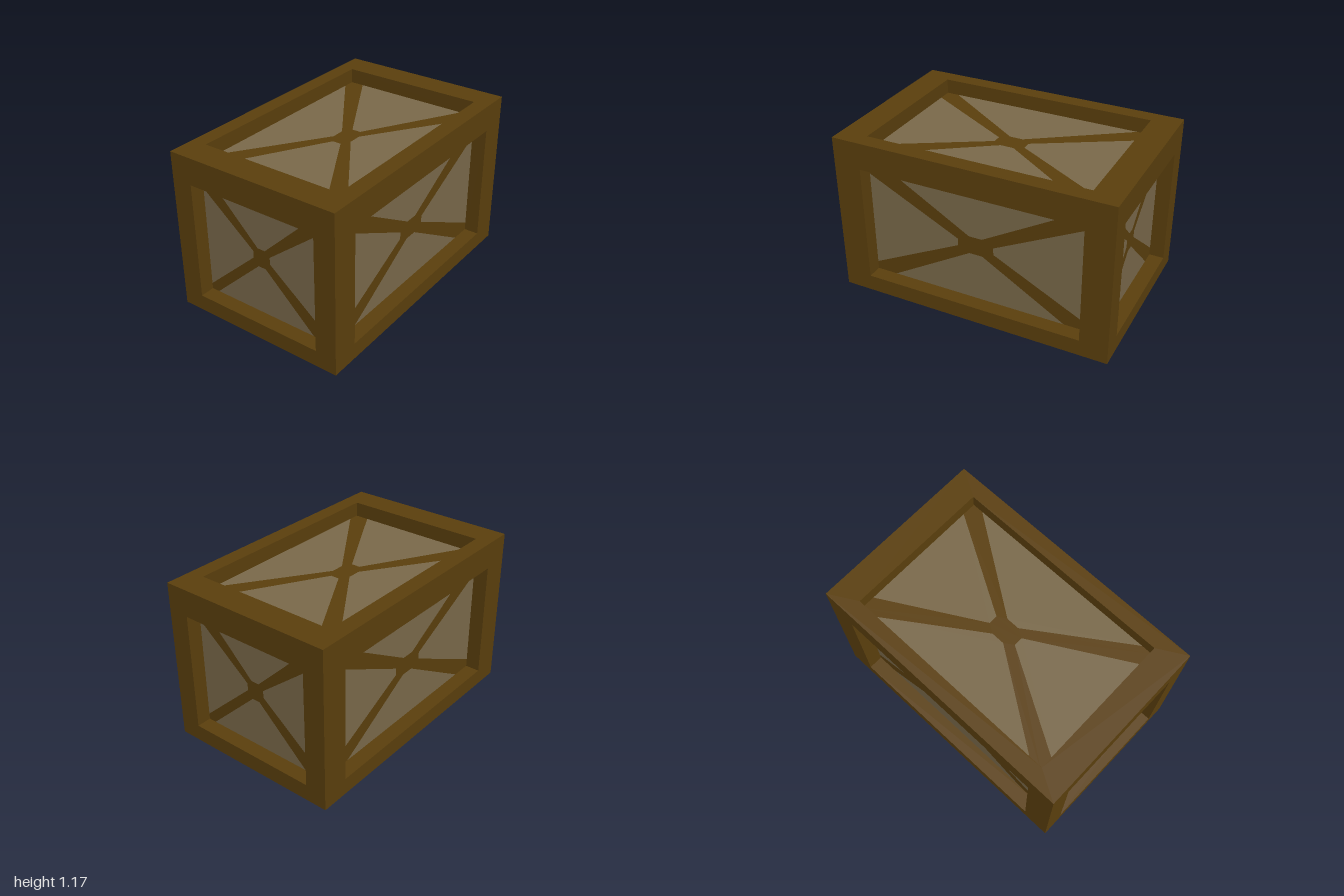
import * as THREE from 'three';

const W = 2, H = 1.175, D = 1.29, DEPTH = 0.107;

const darkWood = new THREE.MeshStandardMaterial({ color: 0x5c400d, side: THREE.DoubleSide });
darkWood.name = 'dark wood';
const paleWood = new THREE.MeshStandardMaterial({ color: 0x7b6a4b, side: THREE.DoubleSide });
paleWood.name = 'pale wood';

const polygon = (pts, Type = THREE.Shape) => new Type(pts.map(([x, y]) => new THREE.Vector2(x, y)));
const rect = (x0, y0, x1, y1) => [[x0, y0], [x1, y0], [x1, y1], [x0, y1]];

function mesh(name, geometry, material) {
  const m = new THREE.Mesh(geometry, material);
  m.name = name;
  return m;
}

// One wall lying in its local xy plane and facing +z: flat frame, recess sides and braced panel.
// outer and open are [x0, y0, x1, y1]; each tri is [edge start, edge end, apex across, apex out], from -1 to 1.
function wall(name, outer, open, tris) {
  const g = new THREE.Group();
  g.name = name;
  const [x0, y0, x1, y1] = open;
  const cx = (x0 + x1) / 2, cy = (y0 + y1) / 2, hw = (x1 - x0) / 2, hh = (y1 - y0) / 2;

  const frame = polygon(rect(...outer));
  frame.holes.push(polygon(rect(...open), THREE.Path));
  g.add(mesh('frame', new THREE.ShapeGeometry(frame), darkWood));

  // Recess sides
  for (const s of [-1, 1]) {
    const across = new THREE.PlaneGeometry(2 * hw, DEPTH).rotateX(s * Math.PI / 2);
    g.add(mesh('recessSide', across.translate(cx, cy + s * hh, -DEPTH / 2), darkWood));
    const upright = new THREE.PlaneGeometry(DEPTH, 2 * hh).rotateY(-s * Math.PI / 2);
    g.add(mesh('recessSide', upright.translate(cx + s * hw, cy, -DEPTH / 2), darkWood));
  }

  // Crossed brace around four blunt-tipped triangles: top, bottom, left, right
  const brace = polygon(rect(...open));
  tris.forEach(([a, b, mid, tip], i) => {
    const edge = i % 2 ? -1 : 1, vertical = i >= 2;
    const side = vertical ? -edge : edge;
    const local = [[a, side], [b, side], [mid + 0.06, tip], [mid - 0.06, tip]];
    const pts = local.map(([p, q]) => (vertical ? [cx + q * hw, cy + p * hh] : [cx + p * hw, cy + q * hh]));
    brace.holes.push(polygon(pts, THREE.Path));
    const panel = mesh('panel', new THREE.ShapeGeometry(polygon(pts)), paleWood);
    panel.position.z = -DEPTH;
    g.add(panel);
  });
  const cross = mesh('crossBrace', new THREE.ShapeGeometry(brace), darkWood);
  cross.position.z = -DEPTH;
  g.add(cross);
  return g;
}

export function createModel() {
  const crate = new THREE.Group();
  crate.name = 'crate';

  const longTris = [[-0.85, 0.86, 0, 0.14], [-0.81, 0.81, 0, -0.17], [-0.86, 0.81, -0.02, -0.165], [-0.86, 0.82, -0.02, 0.165]];
  const endTris = [[-0.84, 0.78, -0.04, 0.16], [-0.88, 0.8, -0.04, -0.16], [-0.9, 0.84, 0.02, -0.18], [-0.86, 0.9, 0.02, 0.1]];
  const lidTris = [[-0.89, 0.89, 0, 0.14], [-0.9, 0.9, 0, -0.13], [-0.81, 0.81, 0, -0.14], [-0.81, 0.81, 0, 0.14]];

  // Long and short walls in pairs; the underside is open
  for (const turn of [0, 1]) {
    const s = turn ? -1 : 1;
    const long = wall(turn ? 'backWall' : 'frontWall', [-W / 2, 0, W / 2, H], [-0.8, 0.12, 0.8, 0.98], longTris);
    long.rotation.y = turn * Math.PI;
    long.position.z = s * D / 2;
    const end = wall(turn ? 'rightWall' : 'leftWall', [-D / 2, 0, D / 2, H], [-0.49, 0.12, 0.49, 0.98], endTris);
    end.rotation.y = s * Math.PI / 2;
    end.position.x = s * W / 2;
    crate.add(long, end);
  }

  // Lid
  const lid = wall('lid', [-W / 2, -D / 2, W / 2, D / 2], [-0.8, -0.53, 0.8, 0.53], lidTris);
  lid.rotation.x = -Math.PI / 2;
  lid.position.y = H;
  crate.add(lid);
  return crate;
}
